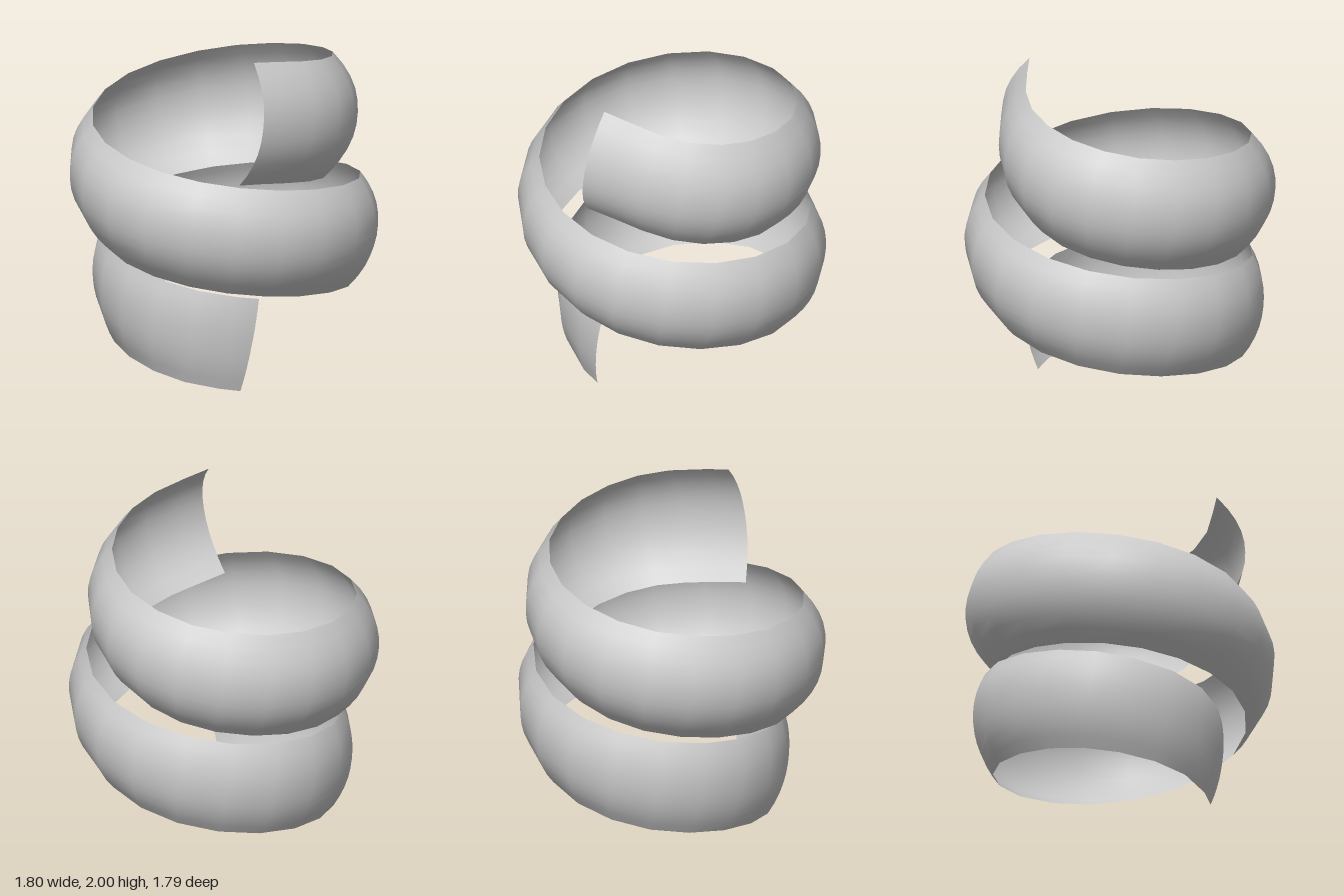
import * as THREE from 'three';

const RINGS = 40;   // segments along the ribbon
const ACROSS = 10;  // segments across its width

// Linear lookup in a short list of [key, value] stations
function lookup(table, k) {
  let i = 1;
  while (i < table.length - 1 && table[i][0] < k) i++;
  const [a, va] = table[i - 1], [b, vb] = table[i];
  return va + (vb - va) * (k - a) / (b - a);
}

// Ring number -> angle around the axis (degrees, from +x towards +z)
const ANGLE = [[0, 24.7], [1, 37], [4, 97], [18, 360], [33, 624.5], [39, 730], [40, 742]];
// Angle -> radius of the ribbon's middle line
const RADIUS = [[24.7, 0.61], [57, 0.664], [97, 0.705], [135, 0.765], [180, 0.84], [225, 0.873], [270, 0.893],
  [360, 0.90], [540, 0.90], [585, 0.875], [624, 0.835], [660, 0.785], [712, 0.708], [730, 0.705], [742, 0.74]];
// Angle -> depth of the outward bulge
const BULGE = [[24.7, 0.035], [90, 0.065], [180, 0.09], [270, 0.115], [360, 0.14], [540, 0.16], [742, 0.16]];
// Angle -> outward lean of the top edge
const LEAN = [[24.7, 0.024], [630, 0.024], [742, 0]];

function middle(i) {
  const deg = lookup(ANGLE, i), a = THREE.MathUtils.degToRad(deg), r = lookup(RADIUS, deg);
  const y = 0.285 + 1.35 * (deg - 24.7) / 717.3;
  return new THREE.Vector3(r * Math.cos(a), y, r * Math.sin(a));
}

export function createModel() {
  const group = new THREE.Group();
  group.name = 'spiralRibbon';

  // A flat grid wound into a helix, each cross-section square to the path
  const geometry = new THREE.PlaneGeometry(1, 1, RINGS, ACROSS);
  const pos = geometry.attributes.position;
  const frames = [];
  for (let i = 0; i <= RINGS; i++) {
    const deg = lookup(ANGLE, i);
    const tangent = middle(Math.min(i + 1, RINGS)).sub(middle(Math.max(i - 1, 0))).normalize();
    const outward = new THREE.Vector3(tangent.z, 0, -tangent.x).normalize();
    const up = new THREE.Vector3().crossVectors(outward, tangent).normalize();
    if (up.y < 0) up.negate();
    const half = 0.5 * (0.575 + 0.16 * (deg - 24.7) / 717.3);
    frames.push({ mid: middle(i), outward, up, half, bulge: lookup(BULGE, deg), lean: lookup(LEAN, deg) });
  }
  const p = new THREE.Vector3();
  for (let n = 0; n < pos.count; n++) {
    const f = frames[Math.round((0.5 - pos.getX(n)) * RINGS)];
    const t = pos.getY(n) * 2;
    p.copy(f.mid)
      .addScaledVector(f.up, t * f.half)
      .addScaledVector(f.outward, t * f.lean - f.bulge * Math.pow(Math.abs(t), 2.2));
    pos.setXYZ(n, p.x, p.y, p.z);
  }
  geometry.computeVertexNormals();

  const material = new THREE.MeshStandardMaterial({ color: 0xcccccc, side: THREE.DoubleSide });
  const ribbon = new THREE.Mesh(geometry, material);
  ribbon.name = 'ribbon';
  group.add(ribbon);
  return group;
}
